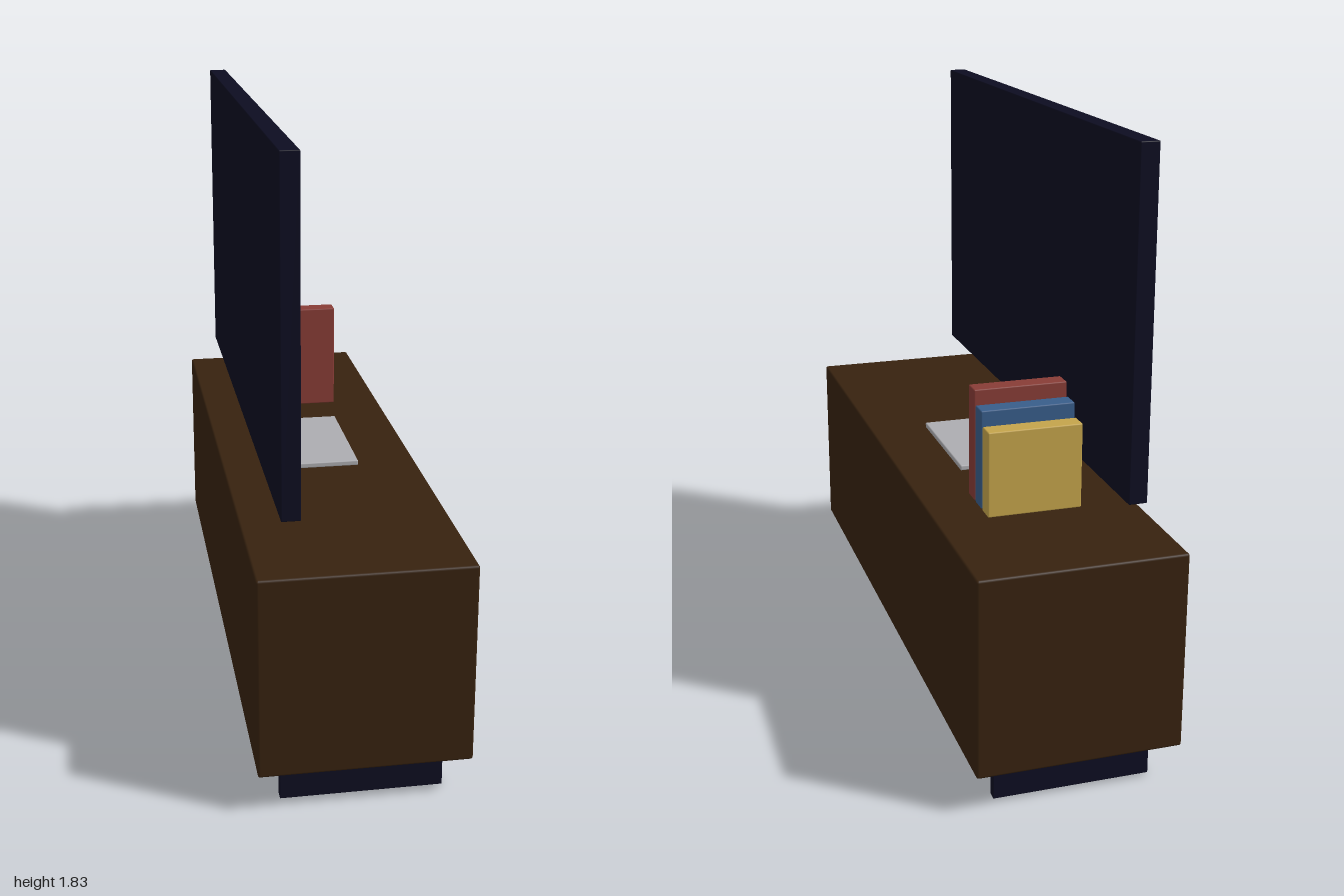
import * as THREE from 'three';
import { RoundedBoxGeometry } from 'three/addons/geometries/RoundedBoxGeometry.js';

function material(name, color) {
  const m = new THREE.MeshStandardMaterial({ color });
  m.name = name;
  return m;
}

export function createModel() {
  const group = new THREE.Group();
  const walnut = material('walnut', 0x37220f);
  const black = material('blueBlack', 0x0d0d21);
  const silver = material('silver', 0xacacb0);
  const red = material('bookRed', 0x883c36);
  const blue = material('bookBlue', 0x385d8a);
  const yellow = material('bookYellow', 0xc4a44b);

  // Softly edged box from its extents on each axis
  function box(name, mat, [x0, x1], [y0, y1], [z0, z1], radius) {
    const geometry = new RoundedBoxGeometry(x1 - x0, y1 - y0, z1 - z0, 2, radius);
    const mesh = new THREE.Mesh(geometry, mat);
    mesh.name = name;
    mesh.position.set((x0 + x1) / 2, (y0 + y1) / 2, (z0 + z1) / 2);
    group.add(mesh);
  }

  // Low cabinet on two plank feet
  box('cabinet', walnut, [-0.305, 0.305], [0.118, 0.715], [-1, 1], 0.007);
  for (const side of [-1, 1]) {
    const z = side * 0.915;
    box(side > 0 ? 'frontFoot' : 'backFoot', black, [-0.235, 0.235], [0, 0.122], [z - 0.0135, z + 0.0135], 0.002);
  }

  // Flat screen hovering above the top
  box('screen', black, [-0.221, -0.166], [0.83, 1.83], [-0.887, 0.887], 0.003);

  // Thin slab lying on the cabinet
  box('tablet', silver, [-0.165, 0.12], [0.714, 0.731], [-0.214, 0.214], 0.004);

  // Upright books, each a little shorter than the last
  [red, blue, yellow].forEach((mat, i) => {
    const z = -0.431 - i * 0.07;
    box(mat.name, mat, [-0.137, 0.15], [0.714, 1.06 - i * 0.0425], [z - 0.029, z + 0.029], 0.004);
  });

  return group;
}
